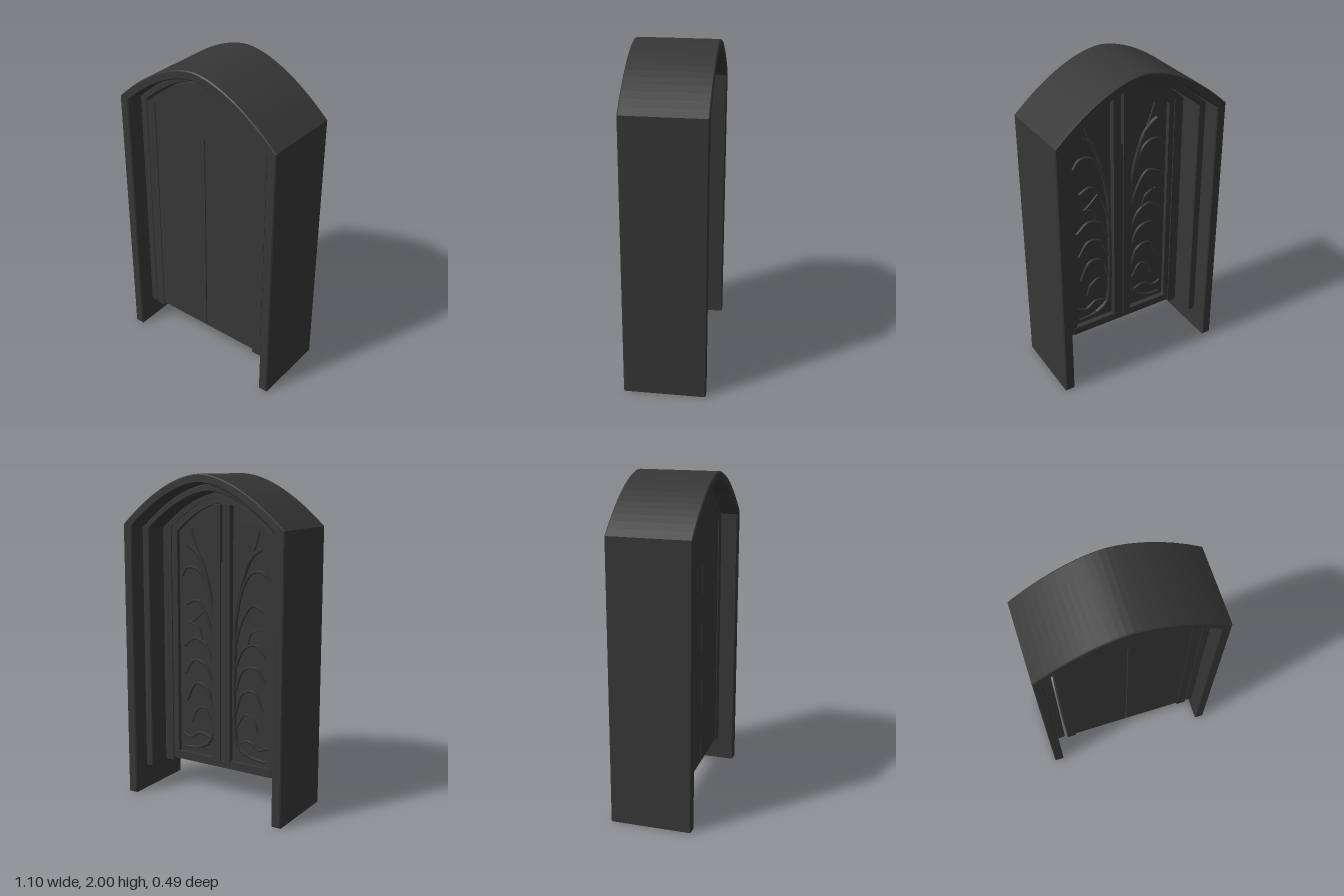
import * as THREE from 'three';

const stone = new THREE.MeshStandardMaterial({ color: 0x363636 });
stone.name = 'dark stone';

// Points of an arched outline from the right foot over the crown to the left foot
function archPoints(xl, xr, bottom, spring, top, n = 14) {
  const pts = [new THREE.Vector2(xr, bottom)];
  for (let i = -n; i <= n; i++) {
    const u = -i / n;
    const x = u > 0 ? u * xr : -u * xl;
    pts.push(new THREE.Vector2(x, spring + (top - spring) * (1 - Math.abs(u) ** 1.75)));
  }
  pts.push(new THREE.Vector2(xl, bottom));
  return pts;
}

// Solid between two depths, with small chamfers that stay inside the outline
function slab(name, shape, z0, z1, bevel = 0) {
  const geo = new THREE.ExtrudeGeometry(shape, {
    depth: z1 - z0 - 2 * bevel, bevelEnabled: bevel > 0, bevelThickness: bevel,
    bevelSize: bevel, bevelOffset: -bevel, bevelSegments: 1, curveSegments: 4,
  });
  geo.translate(0, 0, z0 + bevel);
  const mesh = new THREE.Mesh(geo, stone);
  mesh.name = name;
  return mesh;
}

// Open-footed arch band: outer outline there, inner outline back
function band(name, outer, inner, z0, z1, bevel) {
  const shape = new THREE.Shape([...archPoints(...outer), ...archPoints(...inner).reverse()]);
  return slab(name, shape, z0, z1, bevel);
}

function box(name, w, h, d, x, y, z) {
  const mesh = new THREE.Mesh(new THREE.BoxGeometry(w, h, d), stone);
  mesh.position.set(x, y, z);
  mesh.name = name;
  return mesh;
}

export function createModel() {
  const model = new THREE.Group();
  model.name = 'archedDoorway';

  // Three nested arches
  model.add(
    band('outerArch', [-0.55, 0.55, 0, 1.7, 2], [-0.49, 0.49, 0, 1.685, 1.948], -0.245, 0.245, 0.006),
    band('middleArch', [-0.488, 0.488, 0.155, 1.675, 1.94], [-0.44, 0.44, 0.155, 1.67, 1.9], -0.14, 0.14, 0.004),
    band('innerArch', [-0.422, 0.43, 0.17, 1.67, 1.895], [-0.365, 0.37, 0.17, 1.675, 1.865], -0.005, 0.155, 0),
  );

  // Door front with the slit between the leaves, and the panel behind it
  const front = new THREE.Shape(archPoints(-0.368, 0.373, 0.19, 1.677, 1.867));
  front.holes.push(new THREE.Path([
    new THREE.Vector2(-0.003, 0.195), new THREE.Vector2(-0.003, 1.55),
    new THREE.Vector2(0.003, 1.55), new THREE.Vector2(0.003, 0.195),
  ]));
  model.add(slab('doorLeaves', front, 0.09, 0.15));
  model.add(slab('doorPanel', new THREE.Shape(archPoints(-0.368, 0.373, 0.19, 1.677, 1.867)), 0.03, 0.09));

  // Raised rim, bottom rail and paired centre posts on the back
  model.add(band('backRim', [-0.368, 0.373, 0.19, 1.677, 1.867], [-0.33, 0.33, 0.19, 1.65, 1.83], 0.002, 0.03, 0));
  model.add(box('bottomRail', 0.7, 0.05, 0.035, 0, 0.215, 0.0145));
  for (const s of [-1, 1]) {
    model.add(box('centrePost', 0.05, 1.6, 0.045, s * 0.034, 1.02, 0.0125));
  }
  model.add(box('centreBead', 0.014, 1.25, 0.03, 0, 0.85, 0.012));

  // Tree relief: trunk, boughs, twigs and roots as [radius, x, y, x, y, ...]
  const stems = [
    [0.014, 0.17, 0.29, 0.1, 0.34, 0.075, 0.5, 0.075, 0.9, 0.085, 1.18, 0.13, 1.38, 0.19, 1.52, 0.26, 1.57],
    [0.010, 0.08, 1.1, 0.12, 1.3, 0.19, 1.42, 0.27, 1.43, 0.31, 1.38],
    [0.009, 0.08, 0.98, 0.13, 1.14, 0.2, 1.23, 0.28, 1.2],
    [0.009, 0.08, 0.84, 0.14, 0.96, 0.22, 0.99, 0.3, 0.93],
    [0.009, 0.08, 0.7, 0.14, 0.83, 0.22, 0.85, 0.29, 0.76],
    [0.009, 0.08, 0.54, 0.13, 0.68, 0.21, 0.7, 0.28, 0.58],
    [0.007, 0.09, 0.46, 0.15, 0.55, 0.21, 0.52, 0.24, 0.44],
    [0.008, 0.1, 0.36, 0.18, 0.38, 0.25, 0.34, 0.31, 0.36],
    [0.008, 0.12, 0.32, 0.2, 0.28, 0.3, 0.27],
    [0.007, 0.18, 1.5, 0.22, 1.6, 0.24, 1.67],
    [0.006, 0.15, 1.17, 0.2, 1.12, 0.25, 1.08],
    [0.006, 0.16, 0.97, 0.19, 1.06, 0.26, 1.09],
  ];
  for (const s of [-1, 1]) {
    const tree = new THREE.Group();
    tree.name = s > 0 ? 'leftTreeRelief' : 'rightTreeRelief';
    for (const [r, ...xy] of stems) {
      const pts = [];
      for (let i = 0; i < xy.length; i += 2) pts.push(new THREE.Vector3(s * xy[i], xy[i + 1], 0.026));
      const geo = new THREE.TubeGeometry(new THREE.CatmullRomCurve3(pts), 24, r, 6);
      const stem = new THREE.Mesh(geo, stone);
      stem.name = 'branch';
      tree.add(stem);
    }
    model.add(tree);
  }
  return model;
}
